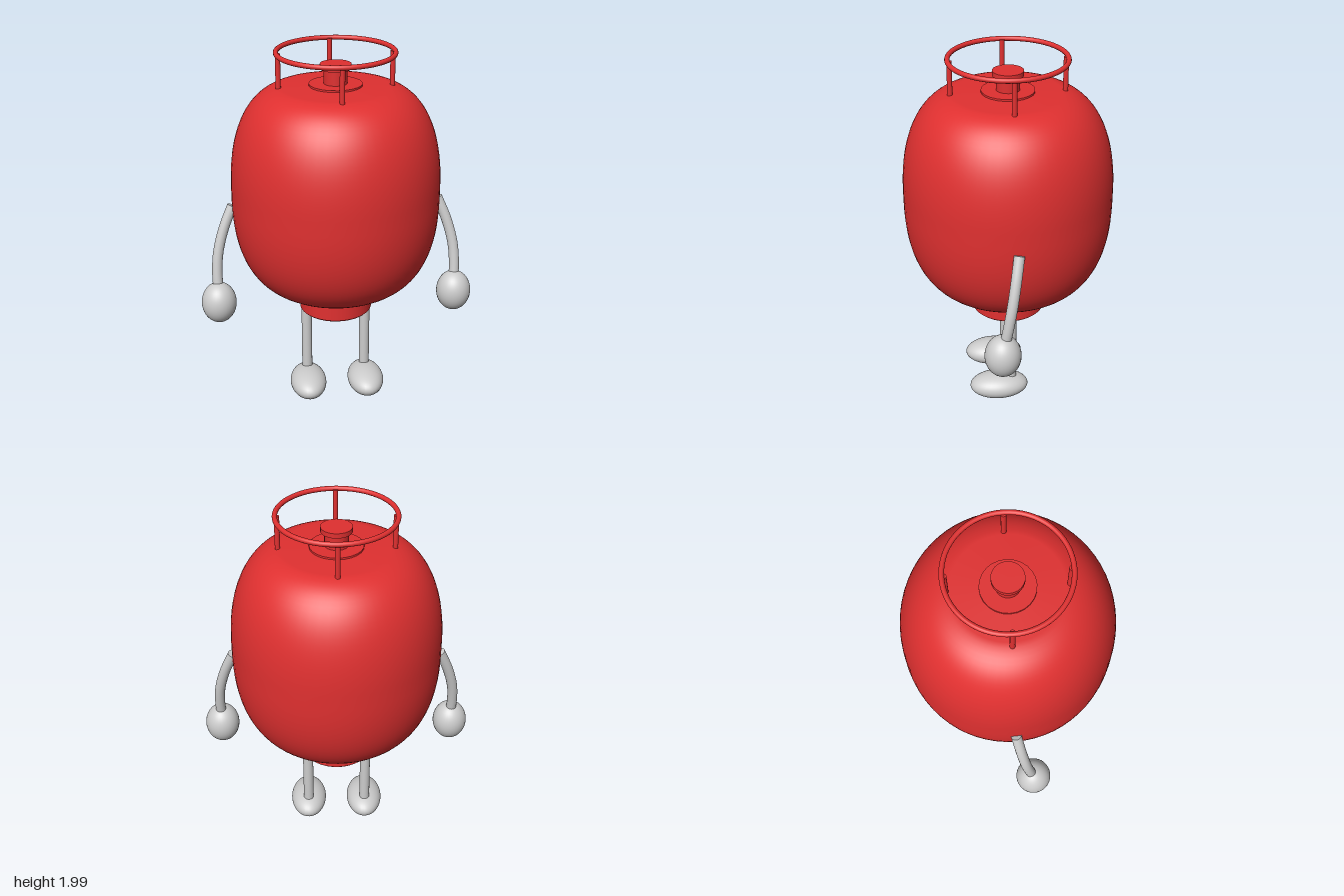
import * as THREE from 'three';

export function createModel() {
  const model = new THREE.Group();
  model.name = 'gasBottleFigure';
  const red = new THREE.MeshStandardMaterial({ name: 'red paint', color: 0xe03030 });
  const grey = new THREE.MeshStandardMaterial({ name: 'light grey', color: 0xcccccc });

  const add = (name, geometry, material, x = 0, y = 0, z = 0) => {
    const mesh = new THREE.Mesh(geometry, material);
    mesh.name = name;
    mesh.position.set(x, y, z);
    model.add(mesh);
    return mesh;
  };
  const rod = (name, r, y0, y1, material, x = 0, z = 0) =>
    add(name, new THREE.CylinderGeometry(r, r, y1 - y0, 24), material, x, (y0 + y1) / 2, z);
  const ellipsoid = (name, rx, ry, rz, x, y, z) =>
    add(name, new THREE.SphereGeometry(1, 32, 24).scale(rx, ry, rz), grey, x, y, z);

  // Tank: rounded shoulders above and below a short straight wall
  const v = (x, y) => new THREE.Vector2(x, y);
  const profile = new THREE.CurvePath();
  profile.add(new THREE.LineCurve(v(0, 0.655), v(0.2, 0.657)));
  profile.add(new THREE.CubicBezierCurve(v(0.2, 0.657), v(0.45, 0.665), v(0.56, 0.87), v(0.56, 1.2)));
  profile.add(new THREE.LineCurve(v(0.56, 1.2), v(0.56, 1.28)));
  profile.add(new THREE.CubicBezierCurve(v(0.56, 1.28), v(0.56, 1.58), v(0.46, 1.785), v(0.28, 1.808)));
  profile.add(new THREE.LineCurve(v(0.28, 1.808), v(0, 1.818)));
  const points = profile.curves.flatMap((c, i) => c.getPoints(i % 2 ? 20 : 1).slice(i ? 1 : 0));
  add('tank', new THREE.LatheGeometry(points, 64), red);

  // Valve on top
  rod('valvePlate', 0.14, 1.805, 1.823, red);
  rod('valveStem', 0.062, 1.81, 1.91, red);
  rod('valveCap', 0.082, 1.9, 1.926, red);

  // Carrying ring on four posts
  add('carryRing', new THREE.TorusGeometry(0.307, 0.013, 16, 64).rotateX(Math.PI / 2), red, 0, 1.987, 0);
  for (let i = 0; i < 4; i++) {
    const a = (i * Math.PI) / 2;
    rod('ringPost', 0.0135, 1.77, 1.985, red, 0.297 * Math.cos(a), 0.297 * Math.sin(a));
  }

  // Base collar with a slightly softened lower edge
  const collar = [v(0, 0.525), v(0.192, 0.525), v(0.192, 0.525), v(0.2, 0.533), v(0.2, 0.533), v(0.2, 0.68)];
  add('baseCollar', new THREE.LatheGeometry(collar, 48), red);

  // Limbs, mirrored left and right
  for (const [s, side] of [[1, 'left'], [-1, 'right']]) {
    rod(side + 'Leg', 0.029, 0.1, 0.535, grey, s * 0.165);
    ellipsoid(side + 'Foot', 0.102, 0.073, 0.165, s * 0.165, 0.08, 0.07);

    const path = new THREE.CatmullRomCurve3([
      [0.558, 1.165, 0.003], [0.61, 1.04, 0.025], [0.645, 0.91, 0.048], [0.655, 0.8, 0.068], [0.653, 0.7, 0.086],
    ].map(([x, y, z]) => new THREE.Vector3(s * x, y, z)));
    add(side + 'Arm', new THREE.TubeGeometry(path, 32, 0.028, 20), grey);
    const cap = add(side + 'ArmEnd', new THREE.CircleGeometry(0.028, 20), grey);
    cap.position.copy(path.getPoint(0));
    cap.lookAt(path.getPoint(0).sub(path.getTangent(0)));
    ellipsoid(side + 'Hand', 0.095, 0.115, 0.095, s * 0.652, 0.635, 0.096);
  }
  return model;
}
